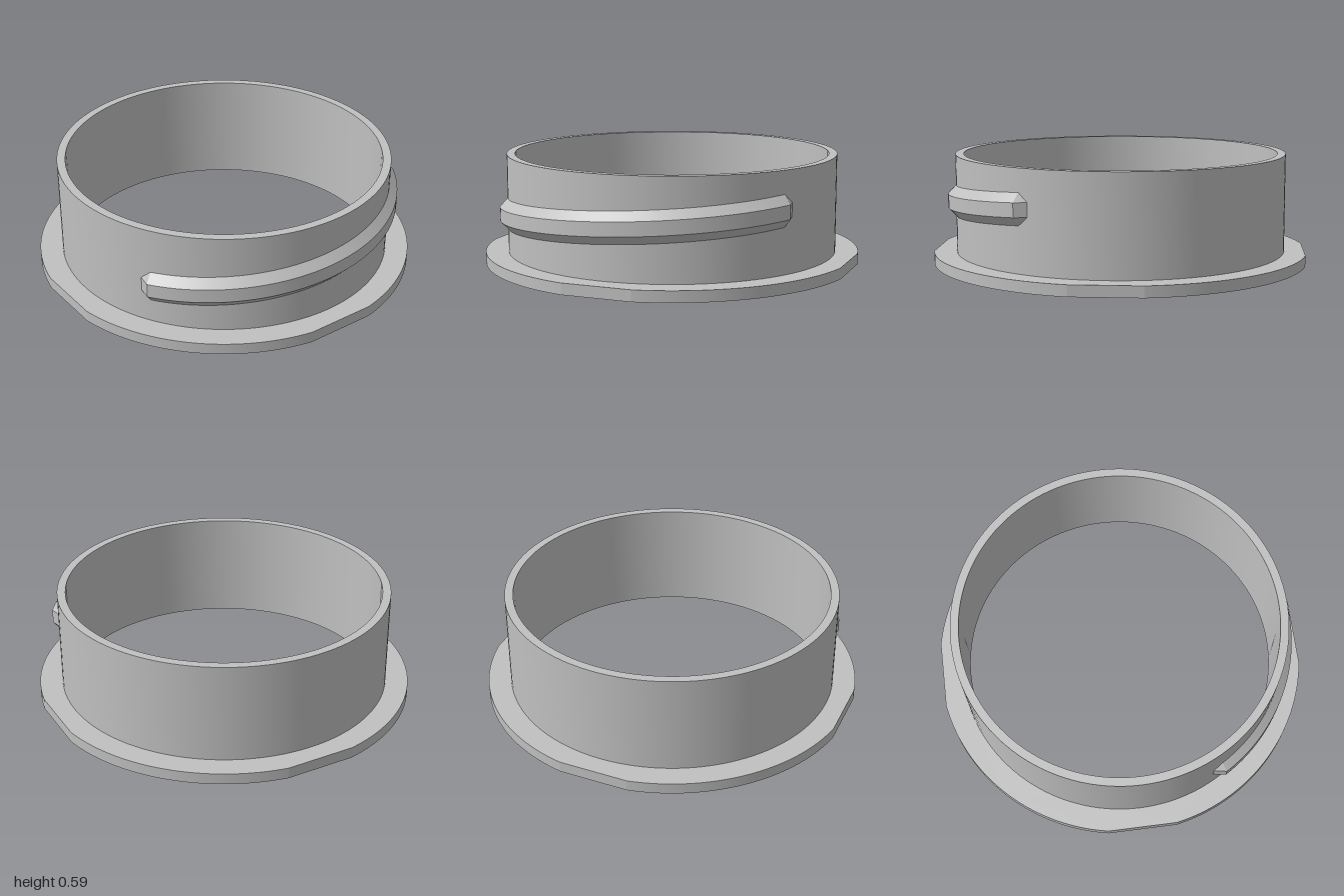
import * as THREE from 'three';
import { toCreasedNormals } from 'three/addons/utils/BufferGeometryUtils.js';

const INNER = 0.85, OUTER = 0.895, HEIGHT = 0.59;
const FLANGE_R = 1.017, FLANGE_H = 0.06;

// Hollow cylindrical collar
function collarGeometry() {
  const profile = [[INNER, 0], [OUTER, 0], [OUTER, HEIGHT], [INNER, HEIGHT], [INNER, 0]]
    .map(([r, y]) => new THREE.Vector2(r, y));
  return toCreasedNormals(new THREE.LatheGeometry(profile, 128), 0.5);
}

// Round flange trimmed flat on four sides
function flangeGeometry() {
  const half = Math.acos(1 / FLANGE_R);
  const shape = new THREE.Shape();
  for (let k = 0; k < 4; k++) {
    const a = k * Math.PI / 2;
    shape.absarc(0, 0, FLANGE_R, a + half, a + Math.PI / 2 - half, false);
  }
  shape.closePath();
  const hole = new THREE.Path();
  hole.absarc(0, 0, OUTER, 0, Math.PI * 2, true);
  shape.holes.push(hole);
  const geo = new THREE.ExtrudeGeometry(shape, { depth: FLANGE_H, bevelEnabled: false, curveSegments: 64 });
  geo.rotateX(-Math.PI / 2);
  return toCreasedNormals(geo, 0.15);
}

// Helical thread with a trapezoid section and tapered ends
function threadGeometry() {
  const end = Math.PI / 3, taper = 0.06, steps = 48;
  const rOut = 0.938, hOut = 0.037, hBase = 0.083;
  const section = [[OUTER, hBase], [rOut, hOut], [rOut, -hOut], [OUTER, -hBase]];
  const positions = [];
  const point = (a, [r, h]) => {
    const rise = THREE.MathUtils.clamp(a, -end, end) * 0.056;
    return [r * Math.sin(a), 0.327 + rise + h, r * Math.cos(a)];
  };
  const tri = (a, b, c) => positions.push(...a, ...b, ...c);
  const quad = (a, b, c, d) => { tri(a, b, c); tri(a, c, d); };

  for (let i = 0; i < steps; i++) {
    const a0 = -end + (2 * end * i) / steps;
    const a1 = -end + (2 * end * (i + 1)) / steps;
    for (let j = 0; j < 3; j++) {
      const p = section[j], q = section[j + 1];
      quad(point(a0, p), point(a0, q), point(a1, q), point(a1, p));
    }
  }
  for (const s of [1, -1]) {
    const [baseTop, outTop, outLow, baseLow] = section.map((p) => point(s * end, p));
    const tipTop = point(s * (end + taper), [OUTER, hOut]);
    const tipLow = point(s * (end + taper), [OUTER, -hOut]);
    const face = (a, b, c) => (s > 0 ? tri(a, b, c) : tri(a, c, b));
    face(baseTop, outTop, tipTop);
    face(outTop, outLow, tipLow);
    face(outTop, tipLow, tipTop);
    face(baseLow, tipLow, outLow);
  }
  const geo = new THREE.BufferGeometry();
  geo.setAttribute('position', new THREE.Float32BufferAttribute(positions, 3));
  return toCreasedNormals(geo, 0.3);
}

export function createModel() {
  const grey = new THREE.MeshStandardMaterial({ color: 0xc0c0c0 });
  grey.name = 'light grey';
  const model = new THREE.Group();
  model.name = 'threadedCollar';
  const add = (name, geometry) => {
    const mesh = new THREE.Mesh(geometry, grey);
    mesh.name = name;
    model.add(mesh);
  };
  add('collar', collarGeometry());
  add('flange', flangeGeometry());
  add('thread', threadGeometry());
  return model;
}
